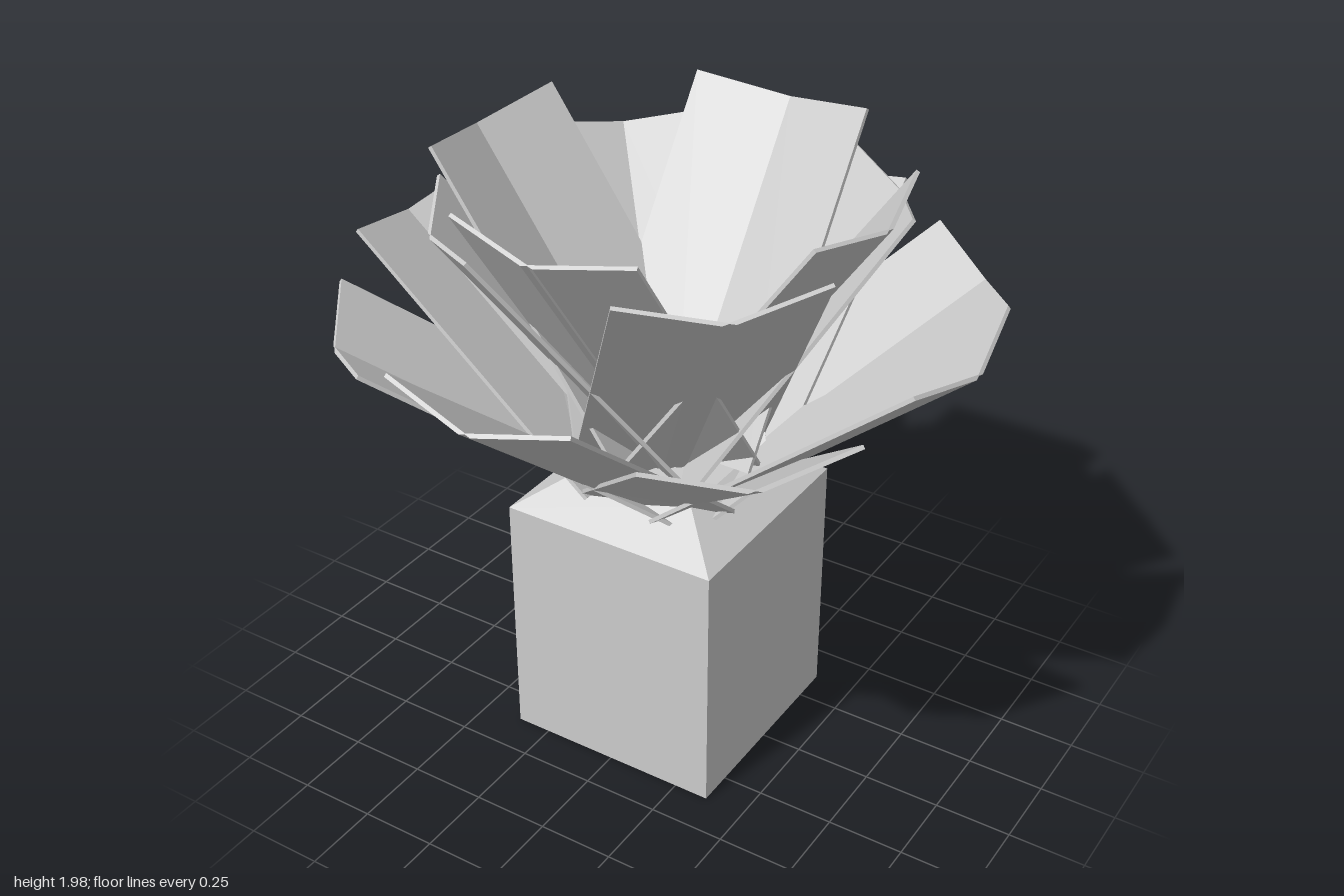
import * as THREE from 'three';

const material = new THREE.MeshStandardMaterial({ color: 0xcccccc, flatShading: true });

// Folded leaf: a thin V section with a small channel under the spine, run along +z
function leafGeometry(length) {
  const section = new THREE.Shape([
    [-0.302, 0.083], [0, 0], [0.302, 0.083], [0.305, 0.071],
    [0.02, -0.008], [0, -0.003], [-0.02, -0.008], [-0.305, 0.071],
  ].map(([x, y]) => new THREE.Vector2(x, y)));
  return new THREE.ExtrudeGeometry(section, { depth: length, bevelEnabled: false });
}

// Four leaves around the stem; start and tip are [radius, height] of the spine
function leafRing(name, start, tip, turn) {
  const ring = new THREE.Group();
  ring.name = name;
  const dr = tip[0] - start[0], dy = tip[1] - start[1];
  const geometry = leafGeometry(Math.hypot(dr, dy));
  geometry.rotateX(-Math.atan2(dy, dr));
  geometry.translate(0, start[1], start[0]);
  for (let i = 0; i < 4; i++) {
    const leaf = new THREE.Mesh(geometry, material);
    leaf.name = 'leaf';
    leaf.rotation.y = turn + i * Math.PI / 2;
    ring.add(leaf);
  }
  return ring;
}

// Square block from a four-sided cylinder, given half widths
function squareBlock(name, top, bottom, y0, y1) {
  const geometry = new THREE.CylinderGeometry(top * Math.SQRT2, bottom * Math.SQRT2, y1 - y0, 4);
  geometry.rotateY(Math.PI / 4);
  geometry.translate(0, (y0 + y1) / 2, 0);
  const mesh = new THREE.Mesh(geometry, material);
  mesh.name = name;
  return mesh;
}

export function createModel() {
  const model = new THREE.Group();
  model.name = 'leafyPlant';

  // Square base with tapered shoulder
  model.add(squareBlock('base', 0.366, 0.366, 0, 0.855));
  model.add(squareBlock('shoulder', 0.2, 0.366, 0.855, 0.965));

  // Spreading outer leaves and steeper inner leaves, diagonals slightly lower
  const diagonal = Math.PI / 4;
  model.add(leafRing('outerLeaves', [0.165, 0.88], [1.0, 1.575], 0));
  model.add(leafRing('outerDiagonalLeaves', [0.11, 0.86], [1.0, 1.485], diagonal));
  model.add(leafRing('innerLeaves', [0.03, 0.985], [0.7, 1.937], 0));
  model.add(leafRing('innerDiagonalLeaves', [0.03, 0.94], [0.7, 1.815], diagonal));
  return model;
}
